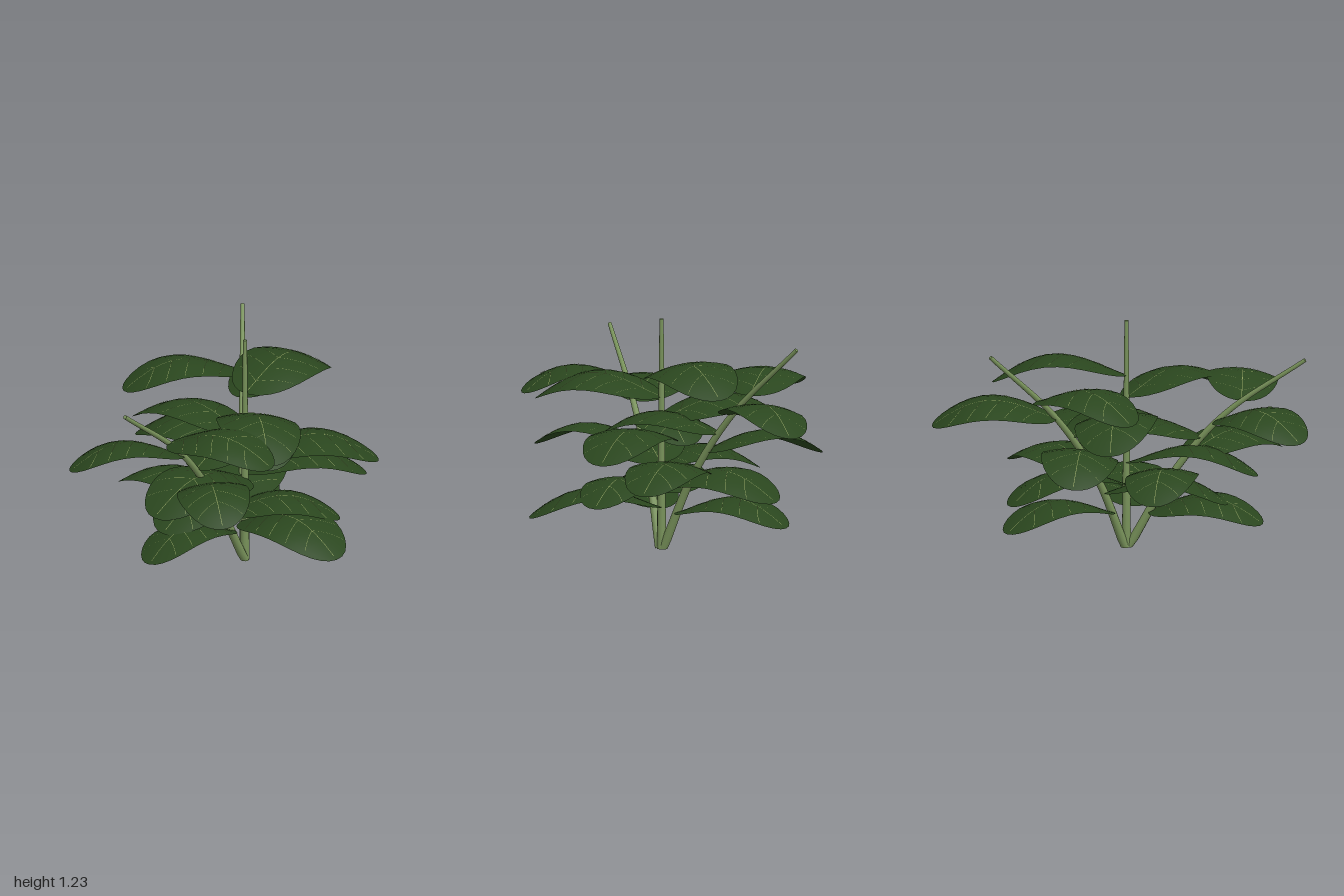
import * as THREE from 'three';
import { mergeGeometries } from 'three/addons/utils/BufferGeometryUtils.js';

const material = (name, color, side = THREE.FrontSide) =>
  new THREE.MeshStandardMaterial({ name, color, side });

const V = (x, y, z) => new THREE.Vector3(x, y, z);

// Leaf surface: s runs from base to tip, t from edge to edge.
// The blade arches upward and droops at the tip and both edges.
function leafPoint(s, t, length, lift = 0) {
  const across = t * Math.sin(Math.acos(1 - 2 * s ** 1.05));
  const arch = 0.172 * Math.sin(Math.PI * s ** 1.15) - 0.057 * s * s;
  const droop = 0.06 * across ** 2;
  return V(s * length, (arch - droop) * length + lift, 0.305 * length * across + 0.003 * t);
}

// Surface from a grid of points, facing up when columns run along +z
function gridGeometry(rows) {
  const cols = rows[0].length;
  const index = [];
  for (let i = 0; i < rows.length - 1; i++) {
    for (let j = 0; j < cols - 1; j++) {
      const a = i * cols + j, b = a + cols;
      index.push(a, a + 1, b, a + 1, b + 1, b);
    }
  }
  const geometry = new THREE.BufferGeometry().setFromPoints(rows.flat());
  geometry.setIndex(index);
  geometry.computeVertexNormals();
  return geometry;
}

function bladeGeometry(length) {
  const n = 16, m = 8, rows = [];
  for (let i = 0; i <= n; i++) {
    const s = (1 - Math.cos((Math.PI * i) / n)) / 2;
    rows.push(Array.from({ length: m + 1 }, (_, j) => leafPoint(s, (2 * j) / m - 1, length)));
  }
  return gridGeometry(rows);
}

// Narrow ribbon lying on the blade between two (s, t) positions
function veinGeometry(length, s0, t0, s1, t1, width) {
  const steps = 10, path = [];
  for (let i = 0; i <= steps; i++) {
    const k = i / steps;
    path.push(leafPoint(s0 + (s1 - s0) * k, t0 + (t1 - t0) * k, length, 0.0017));
  }
  return gridGeometry(path.map((p, i) => {
    const d = path[Math.min(i + 1, steps)].clone().sub(path[Math.max(i - 1, 0)]);
    const across = V(-d.z, 0, d.x).setLength(width / 2);
    return [p.clone().sub(across), p.clone().add(across)];
  }));
}

function veinsGeometry(length) {
  const parts = [veinGeometry(length, 0.03, 0, 0.97, 0, 0.003)];
  for (const s of [0.14, 0.29, 0.44, 0.59, 0.74]) {
    for (const side of [-1, 1]) {
      parts.push(veinGeometry(length, s, 0, s + 0.13, side * 0.9, 0.0022));
    }
  }
  return mergeGeometries(parts);
}

// Tapered tube along a curve, with flat end caps
function stemGeometry(curve, baseRadius, topRadius) {
  const n = 24, sides = 10;
  const tube = new THREE.TubeGeometry(curve, n, 1, sides);
  const pos = tube.attributes.position;
  const p = V(0, 0, 0);
  for (let i = 0; i <= n; i++) {
    const centre = curve.getPointAt(i / n);
    const radius = baseRadius + ((topRadius - baseRadius) * i) / n;
    for (let j = 0; j <= sides; j++) {
      const k = i * (sides + 1) + j;
      p.fromBufferAttribute(pos, k).sub(centre).multiplyScalar(radius).add(centre);
      pos.setXYZ(k, p.x, Math.max(p.y, 0), p.z);
    }
  }
  const cap = (u, radius, dir) => new THREE.CircleGeometry(radius, sides)
    .applyQuaternion(new THREE.Quaternion().setFromUnitVectors(V(0, 0, 1), dir))
    .translate(...curve.getPointAt(u).toArray());
  return mergeGeometries([
    tube,
    cap(1, topRadius, curve.getTangentAt(1)),
    cap(0, baseRadius, V(0, -1, 0)),
  ]);
}

export function createModel() {
  const plant = new THREE.Group();
  plant.name = 'plant';

  const leafGreen = material('leaf green', 0x2a461e, THREE.DoubleSide);
  const stemGreen = material('stem green', 0x78925a);
  const veinGreen = material('vein green', 0x8b9a5c, THREE.DoubleSide);

  // Each stem carries seven leaves spiralling down from its top leaf,
  // each rolled a little about its own midrib
  const stems = [
    { name: 'centreStem', top: 0.93, step: 0.118, angle: 256, length: 0.71,
      rolls: [0.11, -0.1, 0.11, 0, -0.13, 0.11, 0.05],
      path: [V(0.072, 0, -0.06), V(0.072, 0.6, -0.06), V(0.072, 1.23, -0.06)] },
    { name: 'backStem', top: 0.86, step: 0.11, angle: 116, length: 0.66,
      rolls: [0.04, -0.11, 0, -0.1, -0.04, -0.1, 0.05],
      path: [V(0.065, 0, -0.065), V(-0.07, 0.4, -0.18), V(-0.25, 0.75, -0.35), V(-0.54, 1.13, -0.63)] },
    { name: 'frontStem', top: 0.82, step: 0.104, angle: -17, length: 0.62,
      rolls: [0.1, 0.11, 0, 0.08, 0.05, 0, 0.11],
      path: [V(0.08, 0, -0.05), V(0.095, 0.4, 0.18), V(0.125, 0.74, 0.46), V(0.155, 1.06, 0.9)] },
  ];

  for (const { name, top, step, angle, length, rolls, path } of stems) {
    const curve = new THREE.CatmullRomCurve3(path);
    const stem = new THREE.Mesh(stemGeometry(curve, 0.025, 0.011), stemGreen);
    stem.name = name;
    plant.add(stem);

    const blade = bladeGeometry(length);
    const veins = veinsGeometry(length);
    const points = curve.getPoints(300);
    rolls.forEach((roll, i) => {
      const leaf = new THREE.Group();
      leaf.name = 'leaf';
      const bladeMesh = new THREE.Mesh(blade, leafGreen);
      bladeMesh.name = 'leafBlade';
      const veinMesh = new THREE.Mesh(veins, veinGreen);
      veinMesh.name = 'leafVeins';
      leaf.add(bladeMesh, veinMesh);
      leaf.position.copy(points.find((p) => p.y >= top - i * step));
      leaf.rotation.set(roll, -THREE.MathUtils.degToRad(angle + i * 137.5), 0, 'YXZ');
      plant.add(leaf);
    });
  }
  return plant;
}
